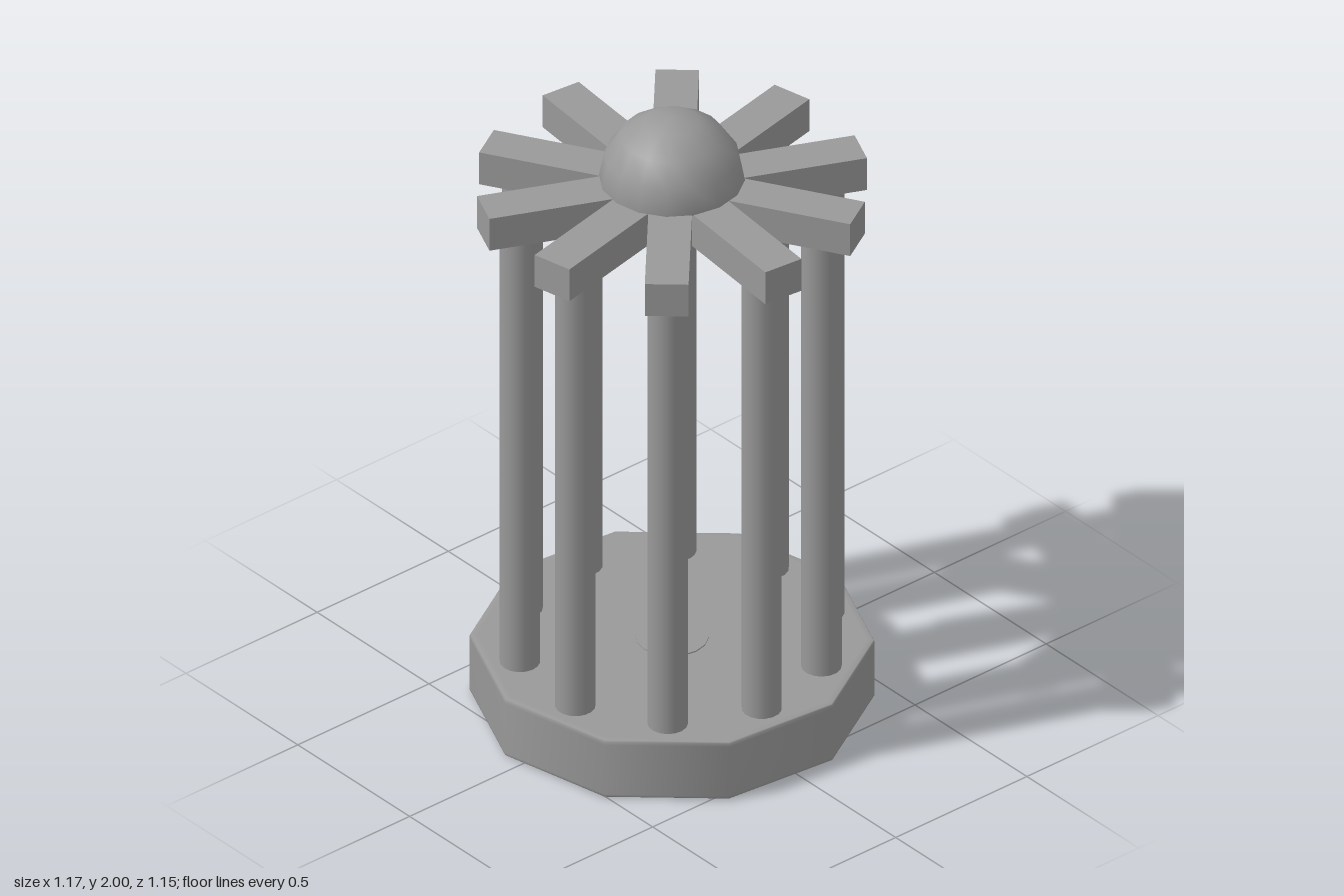
import * as THREE from 'three';

const COUNT = 10;
const material = new THREE.MeshStandardMaterial({ color: 0x999999 });

function add(parent, name, geometry, x = 0, y = 0, z = 0) {
  const mesh = new THREE.Mesh(geometry, material);
  mesh.name = name;
  mesh.position.set(x, y, z);
  parent.add(mesh);
  return mesh;
}

export function createModel() {
  const model = new THREE.Group();
  model.name = 'pavilion';

  // Ten-sided plinth with a slightly softened rim
  const profile = [
    [0, 0.003], [0.565, 0.003], [0.584, 0.004], [0.587, 0.007], [0.588, 0.015],
    [0.588, 0.185], [0.587, 0.195], [0.584, 0.199], [0.565, 0.2], [0, 0.2],
  ].map(([r, y]) => new THREE.Vector2(r, y));
  add(model, 'base', new THREE.LatheGeometry(profile, COUNT, THREE.MathUtils.degToRad(12)));

  // Round plug through the middle of the plinth, barely proud of it
  add(model, 'basePlug', new THREE.CylinderGeometry(0.107, 0.107, 0.204, 16), 0, 0.102, 0);

  // Ring of columns, each carrying a radial roof beam
  const columnGeometry = new THREE.CylinderGeometry(0.059, 0.059, 1.5, 16);
  const beamGeometry = new THREE.BoxGeometry(0.52, 0.11, 0.127);
  beamGeometry.translate(0.311, 0, 0);
  for (let i = 0; i < COUNT; i++) {
    const bay = new THREE.Group();
    bay.name = `bay${i + 1}`;
    bay.rotation.y = THREE.MathUtils.degToRad(12 - 36 * i);
    add(bay, 'column', columnGeometry, 0.46, 0.94, 0);
    add(bay, 'roofBeam', beamGeometry, 0, 1.735, 0);
    model.add(bay);
  }

  // Hub hanging under the beams
  add(model, 'hub', new THREE.CylinderGeometry(0.107, 0.107, 0.18, 16), 0, 1.69, 0);

  // Dome over the hub
  add(model, 'dome', new THREE.SphereGeometry(0.213, 16, 4, 0, Math.PI * 2, 0, Math.PI / 2), 0, 1.787, 0);

  return model;
}
